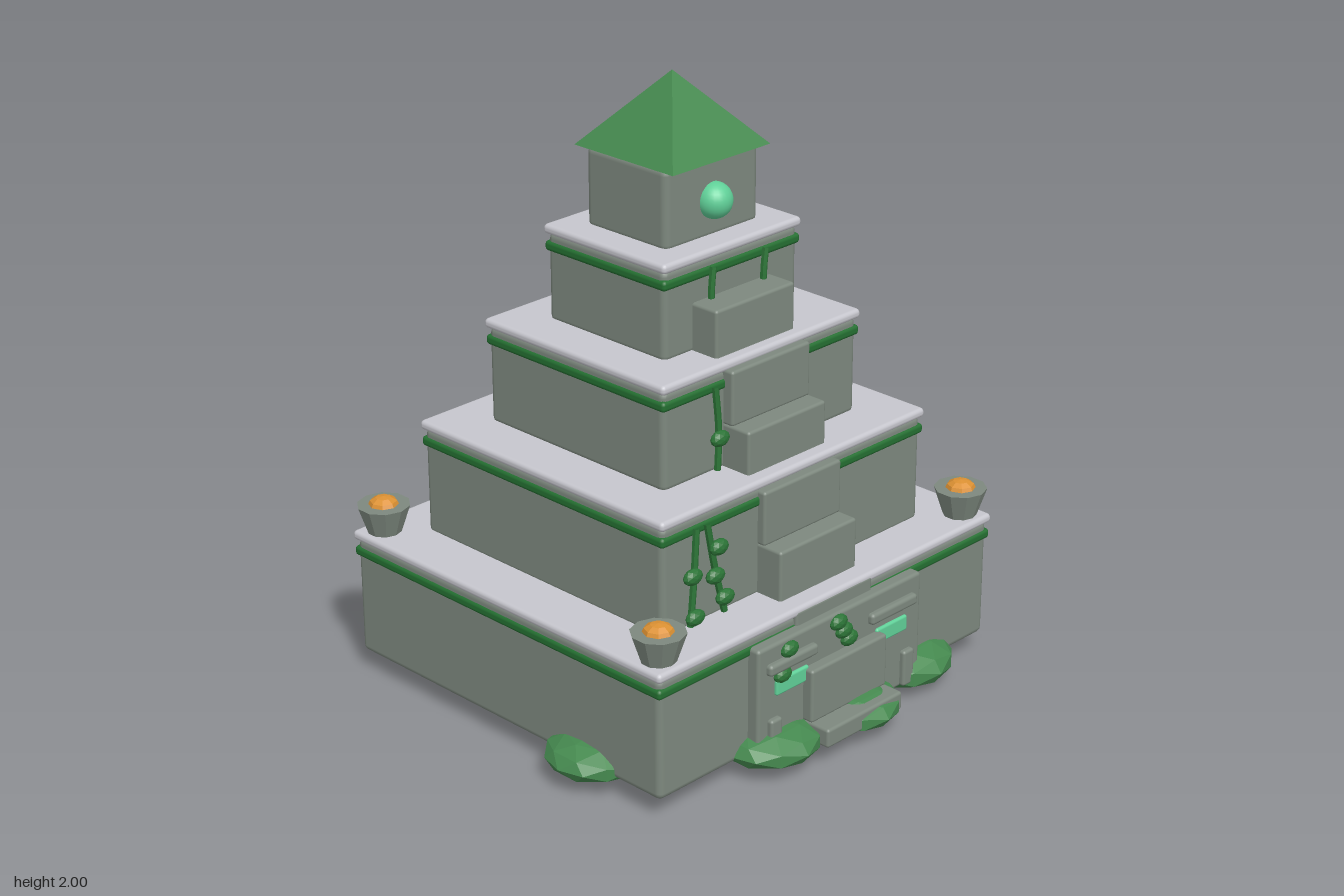
import * as THREE from 'three';
import { RoundedBoxGeometry } from 'three/addons/geometries/RoundedBoxGeometry.js';

const CX = -0.045, CZ = -0.085; // axis of the pyramid

const mat = (name, color, flatShading = false) => {
  const m = new THREE.MeshStandardMaterial({ color });
  m.name = name;
  m.flatShading = flatShading;
  return m;
};

export function createModel() {
  const stone = mat('stone', 0x7d887e);
  const paleStone = mat('pale stone', 0xc6c6cd);
  const moss = mat('moss', 0x246f31);
  const leafGreen = mat('leaf green', 0x45894f, true);
  const vineGreen = mat('vine green', 0x2c7437, true);
  const jade = mat('jade glow', 0x60d098);
  const ember = mat('ember', 0xdc9133, true);

  const model = new THREE.Group();
  model.name = 'steppedTemple';

  const add = (name, geo, material, x, y, z, parent = model) => {
    const m = new THREE.Mesh(geo, material);
    m.name = name;
    m.position.set(x, y, z);
    parent.add(m);
    return m;
  };
  // Rounded block given by its vertical span and centre
  const block = (name, w, y0, y1, d, r, material, x = CX, z = CZ) =>
    add(name, new RoundedBoxGeometry(w, y1 - y0, d, 2, r), material, x, (y0 + y1) / 2, z);

  // Tiers: body, moss band and pale slab [width, depth, bottom, slab top]
  const tiers = [
    [1.495, 1.36, 0.066, 0.495],
    [1.16, 1.055, 0.48, 0.872],
    [0.855, 0.765, 0.86, 1.213],
    [0.582, 0.505, 1.2, 1.521],
  ];
  tiers.forEach(([w, d, y0, top], i) => {
    const n = i + 1;
    block('tierBody' + n, w, y0, top - 0.025, d, 0.022, stone);
    block('mossBand' + n, w + 0.014, top - 0.087, top - 0.054, d + 0.014, 0.012, moss);
    block('tierSlab' + n, w + 0.02, top - 0.032, top, d + 0.02, 0.014, paleStone);
  });

  // Shrine, round window and pyramid roof
  block('shrine', 0.405, 1.505, 1.772, 0.344, 0.025, stone);
  add('roundWindow', new THREE.SphereGeometry(0.058, 24, 16), jade, CX, 1.63, 0.092);
  const roofGeo = new THREE.ConeGeometry(0.21 * Math.SQRT2, 0.235, 4).rotateY(Math.PI / 4);
  add('roof', roofGeo, leafGreen, CX, 1.8825, CZ);

  // Stairway up the front
  for (let k = 0; k < 8; k++) {
    const top = 0.13 + 0.1765 * k, front = 0.742 - 0.0677 * k;
    block('step' + (k + 1), 0.345, Math.max(0.066, top - 0.18), top, 0.13, 0.01, stone, CX, front - 0.065);
  }

  // Carved face beside the stairs
  block('facePanel', 0.745, 0.062, 0.437, 0.07, 0.012, stone, CX, 0.602);
  for (const s of [-1, 1]) {
    block('brow', 0.215, 0.342, 0.38, 0.05, 0.012, stone, CX + s * 0.23, 0.632);
    block('eye', 0.145, 0.262, 0.315, 0.03, 0.008, jade, CX + s * 0.228, 0.632);
    block('fang', 0.05, 0.066, 0.19, 0.04, 0.01, stone, CX + s * 0.305, 0.635);
  }

  // Fire bowls on the corners of the lowest tier
  for (const sx of [-1, 1]) for (const sz of [-1, 1]) {
    const bowl = new THREE.Group();
    bowl.name = 'fireBowl';
    bowl.position.set(CX + sx * 0.685, 0.495, CZ + sz * 0.615);
    model.add(bowl);
    const cup = new THREE.CylinderGeometry(0.086, 0.055, 0.093, 10).toNonIndexed();
    cup.computeVertexNormals();
    add('bowlCup', cup, stone, 0, 0.0465, 0, bowl);
    add('bowlEmbers', new THREE.SphereGeometry(0.05, 8, 6).scale(1, 0.6, 1), ember, 0, 0.09, 0, bowl);
  }

  // Bushes around the foot [x, z, radius, half height]
  [
    [-0.735, 0.265, 0.16, 0.066],
    [-0.31, 0.575, 0.172, 0.066],
    [0.025, 0.612, 0.165, 0.062],
    [0.37, 0.515, 0.182, 0.077],
    [0.735, -0.26, 0.158, 0.07],
  ].forEach(([x, z, r, h]) =>
    add('bush', new THREE.IcosahedronGeometry(1, 1).scale(r, h, r), leafGreen, x, h === 0.077 ? 0.077 : 0.084, z));

  // Hanging vines: wall z, path of [x, y], leaves at [x, y]
  const vines = [
    [0.46, [[-0.5, 0.815], [-0.51, 0.66], [-0.525, 0.5]], [[-0.535, 0.675], [-0.525, 0.537]]],
    [0.46, [[-0.455, 0.815], [-0.42, 0.65], [-0.38, 0.5]], [[-0.425, 0.735], [-0.44, 0.645], [-0.398, 0.56]]],
    [0.31, [[-0.265, 1.15], [-0.25, 1.0], [-0.255, 0.875]], [[-0.265, 0.988]]],
    [0.18, [[-0.14, 1.465], [-0.147, 1.4], [-0.15, 1.3]], []],
    [0.18, [[0.09, 1.465], [0.082, 1.4], [0.08, 1.3]], []],
    [0.62, [[-0.27, 0.43], [-0.29, 0.38], [-0.31, 0.32]], [[-0.285, 0.4], [-0.315, 0.325]]],
    [0.62, [[-0.07, 0.43], [-0.04, 0.38], [-0.01, 0.33]], [[-0.065, 0.407], [-0.04, 0.37], [-0.015, 0.335]]],
  ];
  for (const [z, path, leaves] of vines) {
    const curve = new THREE.CatmullRomCurve3(path.map(([x, y]) => new THREE.Vector3(x, y, z)));
    add('vine', new THREE.TubeGeometry(curve, 8, 0.011, 6), vineGreen, 0, 0, 0);
    for (const [x, y] of leaves)
      add('vineLeaf', new THREE.IcosahedronGeometry(1, 1).scale(0.037, 0.026, 0.021), vineGreen, x, y, z + 0.02);
  }
  return model;
}
